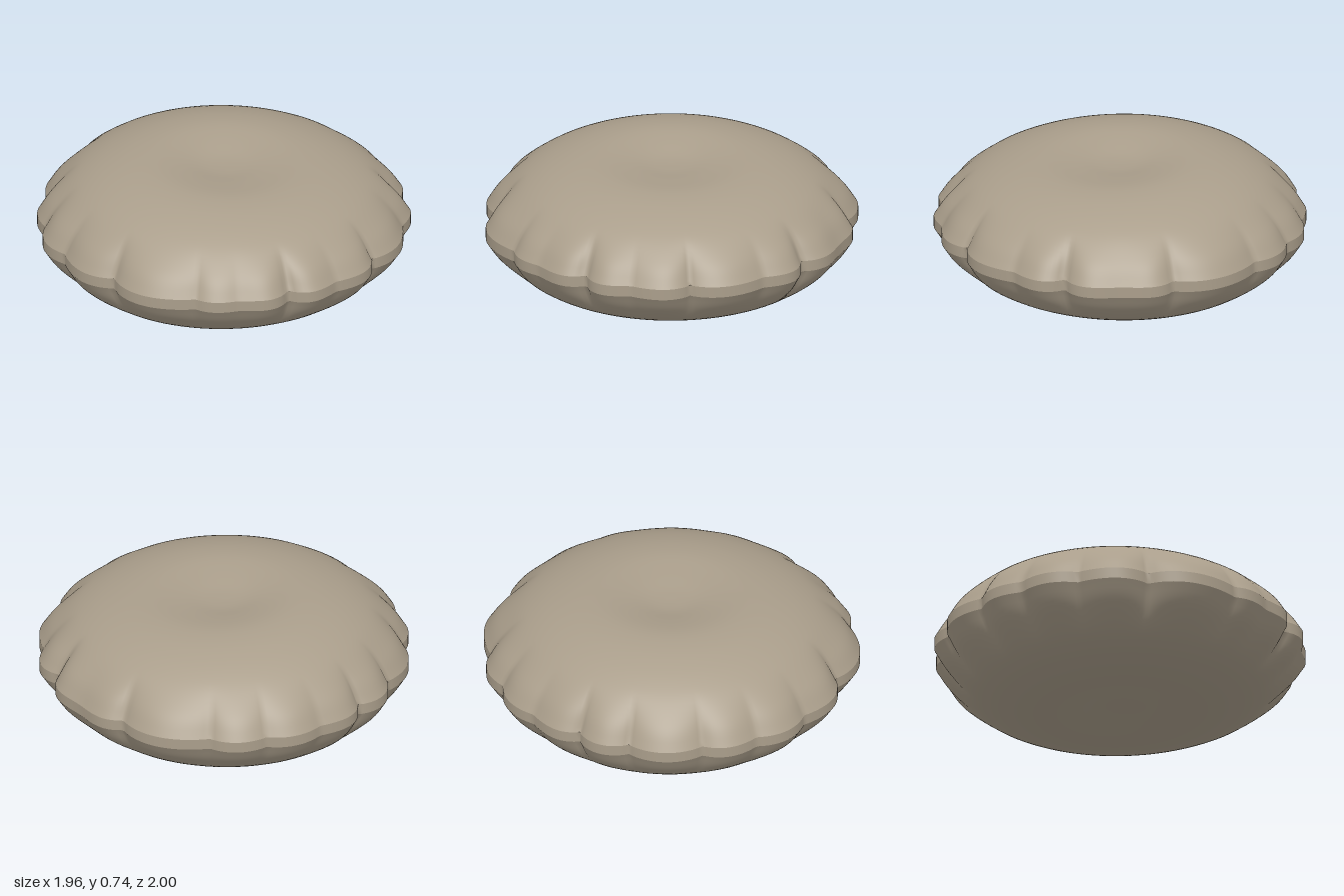
import * as THREE from 'three';
import { mergeVertices } from 'three/addons/utils/BufferGeometryUtils.js';

const SEGMENTS = 288, RINGS = 36;
const MID = 0.37, BAND = 0.03;

// Gathers around the rim: angle in degrees, radius in the fold, radius of the lobe after it
const FOLDS = [
  [0, 0.93, 0.988], [19, 0.96, 0.988], [35.5, 0.913, 0.988], [53, 0.972, 0.99],
  [66, 0.96, 1.006], [96, 0.922, 0.992], [119, 0.956, 1.0], [138, 0.958, 0.99],
  [156, 0.942, 0.992], [180, 0.94, 0.988], [197.5, 0.932, 0.988], [215.5, 0.968, 1.0],
  [233.5, 0.964, 1.0], [251.5, 0.957, 1.0], [282, 0.93, 0.987], [299, 0.976, 0.99],
  [318, 0.914, 0.99], [335.5, 0.955, 0.989], [360, 0.93, 0.988],
];

// Scalloped rim radius at an angle
function rimRadius(angle) {
  const deg = THREE.MathUtils.radToDeg(angle) % 360;
  let i = 0;
  while (i < FOLDS.length - 2 && deg >= FOLDS[i + 1][0]) i++;
  const [a0, r0, lobe] = FOLDS[i], [a1, r1] = FOLDS[i + 1];
  const u = (deg - a0) / (a1 - a0);
  const swell = Math.pow(Math.max(0, Math.sin(Math.PI * u)), 0.8);
  return THREE.MathUtils.lerp(THREE.MathUtils.lerp(r0, r1, u), lobe, swell);
}

// Height of the padding above the band, from the dimpled centre to the rim
const PROFILE = new THREE.CatmullRomCurve3([
  [0, 0.282], [0.1, 0.287], [0.23, 0.308], [0.38, 0.324], [0.5, 0.315], [0.6, 0.293],
  [0.7, 0.258], [0.8, 0.205], [0.9, 0.127], [0.95, 0.075], [1, 0],
].map(([s, h]) => new THREE.Vector3(s, h, 0)));

// Smooth closed surface from a rule (angle, v) -> point
function surface(rings, rule, flip) {
  const positions = [], index = [];
  for (let j = 0; j <= rings; j++) {
    for (let i = 0; i < SEGMENTS; i++) {
      positions.push(...rule((i / SEGMENTS) * Math.PI * 2, j / rings));
    }
  }
  for (let j = 0; j < rings; j++) {
    for (let i = 0; i < SEGMENTS; i++) {
      const n = (i + 1) % SEGMENTS;
      const a = j * SEGMENTS + i, b = j * SEGMENTS + n;
      const c = a + SEGMENTS, d = b + SEGMENTS;
      if (j > 0 || rings === 1) index.push(...(flip ? [a, c, b] : [a, b, c]));
      index.push(...(flip ? [b, c, d] : [b, d, c]));
    }
  }
  let geometry = new THREE.BufferGeometry();
  geometry.setAttribute('position', new THREE.Float32BufferAttribute(positions, 3));
  geometry.setIndex(index);
  geometry = mergeVertices(geometry, 1e-5);
  geometry.computeVertexNormals();
  return geometry;
}

// Padded half of the cushion; side is +1 for the top and -1 for the underside
function padding(side) {
  return surface(RINGS, (angle, v) => {
    const p = PROFILE.getPoint(v);
    const fade = THREE.MathUtils.smoothstep(p.x, 0.76, 1);
    const r = p.x * (1 - (1 - rimRadius(angle)) * fade);
    const lean = 1 - 0.045 * Math.cos(angle) * THREE.MathUtils.smoothstep(p.x, 0, 0.36);
    return [r * Math.cos(angle), MID + side * (BAND + p.y * lean), r * Math.sin(angle)];
  }, side < 0);
}

export function createModel() {
  const group = new THREE.Group();
  group.name = 'cushion';
  const fabric = new THREE.MeshStandardMaterial({ color: 0xaa9e8b });
  fabric.name = 'taupe fabric';

  const add = (name, geometry) => {
    const mesh = new THREE.Mesh(geometry, fabric);
    mesh.name = name;
    group.add(mesh);
  };

  add('topPadding', padding(1).scale(1, 1, 1));
  add('bottomPadding', padding(-1));

  // Upright band sewn around the rim
  add('rimBand', surface(1, (angle, v) => {
    const r = rimRadius(angle);
    return [r * Math.cos(angle), MID + BAND * (1 - 2 * v), r * Math.sin(angle)];
  }, false));

  // The winding of every surface must face outward
  for (const mesh of group.children) faceOutward(mesh.geometry);
  return group;
}

// Reverses the triangles when the normals point towards the middle
function faceOutward(geometry) {
  const p = geometry.attributes.position, n = geometry.attributes.normal;
  let sum = 0;
  for (let i = 0; i < p.count; i++) {
    sum += p.getX(i) * n.getX(i) + (p.getY(i) - MID) * n.getY(i) + p.getZ(i) * n.getZ(i);
  }
  if (sum > 0) return;
  geometry.index.array.reverse();
  geometry.computeVertexNormals();
}
